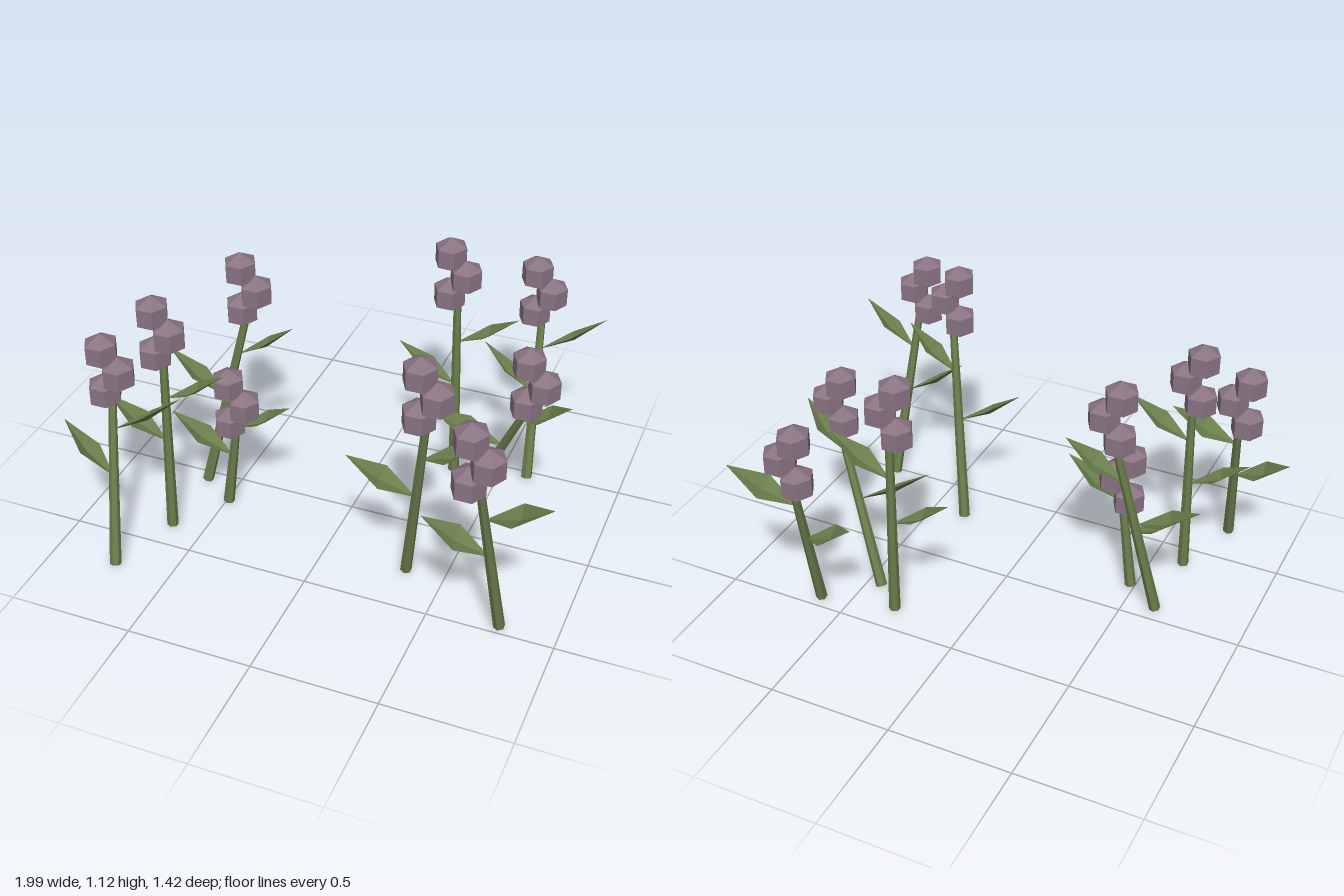
import * as THREE from 'three';

// Each flower: foot [x, z] on the ground and stem top [x, y, z]
const FLOWERS = [
  { foot: [0.615, -0.45], top: [0.58, 0.74, -0.645] },
  { foot: [0.31, -0.39], top: [0.29, 0.89, -0.4] },
  { foot: [0.43, -0.285], top: [0.71, 0.66, -0.1] },
  { foot: [0.345, 0.295], top: [0.468, 0.9, 0.458] },
  { foot: [0.78, 0.47], top: [0.715, 0.81, 0.64] },
  { foot: [-0.63, 0.06], top: [-0.448, 0.86, -0.035] },
  { foot: [-0.485, 0.16], top: [-0.422, 0.455, 0.17] },
  { foot: [-0.63, 0.385], top: [-0.622, 0.85, 0.367] },
  { foot: [-0.725, 0.69], top: [-0.78, 0.72, 0.492] },
];

// Leaf pair: side of the stem, and root height as start + share of stem height
const LEAVES = [
  { name: 'leftLeaf', side: 1, start: 0.15, share: 0.55 },
  { name: 'rightLeaf', side: -1, start: 0.06, share: 0.42 },
];

// Folded diamond leaf running from root to tip, with a lowered midrib
function leafGeometry(root, tip, stemDir) {
  const dir = tip.clone().sub(root).normalize();
  const side = dir.clone().cross(stemDir).normalize();
  const up = side.clone().cross(dir).normalize();
  const mid = root.clone().lerp(tip, 0.48);
  const a = mid.clone().addScaledVector(side, 0.061);
  const b = mid.clone().addScaledVector(side, -0.061);
  const rib = mid.clone().addScaledVector(up, -0.022);
  const geo = new THREE.BufferGeometry().setFromPoints(
    [root, a, rib, rib, a, tip, root, rib, b, rib, tip, b]);
  geo.computeVertexNormals();
  return geo;
}

export function createModel() {
  const greenMat = new THREE.MeshStandardMaterial({ color: 0x6a7d4b, flatShading: true, side: THREE.DoubleSide });
  greenMat.name = 'leafGreen';
  const petalMat = new THREE.MeshStandardMaterial({ color: 0x8a7482, flatShading: true });
  petalMat.name = 'dustyPurple';

  // Six-sided faceted blossom
  const blossomGeo = new THREE.SphereGeometry(0.074, 6, 3);
  blossomGeo.scale(1, 1, 1.08);

  const model = new THREE.Group();
  model.name = 'flowerPatch';

  for (const { foot, top: topPoint } of FLOWERS) {
    const flower = new THREE.Group();
    flower.name = 'flower';
    const base = new THREE.Vector3(foot[0], 0.008, foot[1]);
    const top = new THREE.Vector3(...topPoint);
    const axis = top.clone().sub(base);
    const stemDir = axis.clone().normalize();
    const leanX = axis.x / axis.y;
    const leanZ = axis.z / axis.y;

    // Tapered stem
    const stem = new THREE.Mesh(new THREE.CylinderGeometry(0.015, 0.023, axis.length(), 6), greenMat);
    stem.name = 'stem';
    stem.position.copy(base).addScaledVector(axis, 0.5);
    stem.quaternion.setFromUnitVectors(new THREE.Vector3(0, 1, 0), stemDir);
    flower.add(stem);

    // Pair of leaves that rise outwards and follow the lean of the stem
    for (const { name, side, start, share } of LEAVES) {
      const height = start + share * top.y;
      const root = base.clone().addScaledVector(axis, (height - base.y) / axis.y);
      const tip = root.clone().add(new THREE.Vector3(side * 0.252 - 0.08 * leanX, 0.158, 0.27 * leanZ));
      const leaf = new THREE.Mesh(leafGeometry(root, tip, stemDir), greenMat);
      leaf.name = name;
      flower.add(leaf);
    }

    // Zigzag of three blossoms around the stem top
    for (let i = 0; i < 3; i++) {
      const blossom = new THREE.Mesh(blossomGeo, petalMat);
      blossom.name = 'blossom';
      blossom.position.set(top.x + (i === 1 ? 0.032 : -0.033), top.y + 0.145 - 0.09 * i, top.z);
      flower.add(blossom);
    }
    model.add(flower);
  }
  return model;
}
